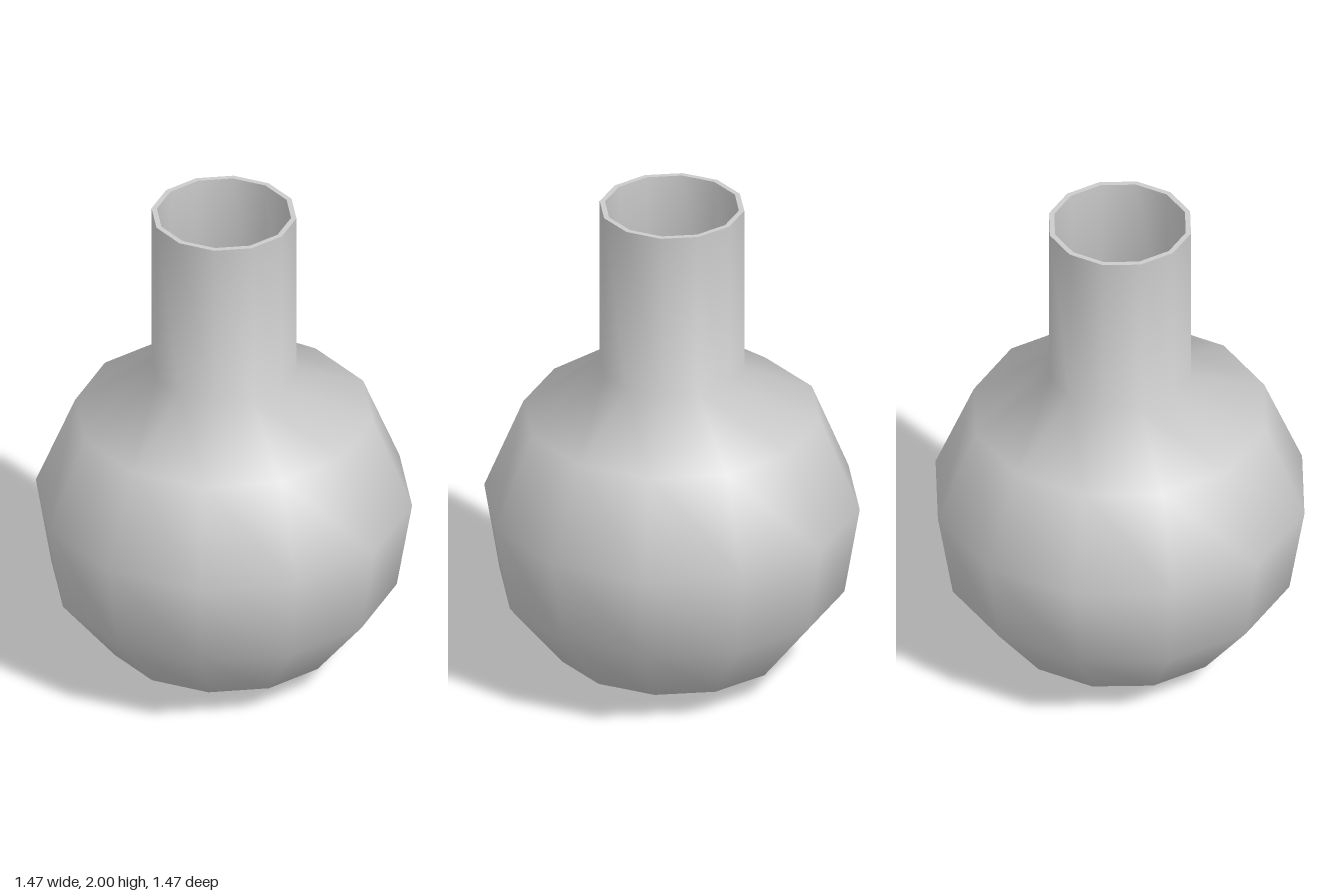
import * as THREE from 'three';

const SIDES = 12;

export function createModel() {
  const flask = new THREE.Group();
  flask.name = 'flask';
  const material = new THREE.MeshStandardMaterial({ color: 0xcccccc });

  // Revolve a profile of [radius, height] pairs into a named part
  function revolve(name, profile) {
    const points = profile.map(([r, y]) => new THREE.Vector2(r, y));
    const mesh = new THREE.Mesh(new THREE.LatheGeometry(points, SIDES), material);
    mesh.name = name;
    flask.add(mesh);
  }

  // Outer wall, from the bottom point up the bulb and the straight neck
  revolve('outerWall', [
    [0, 0], [0.457, 0.105], [0.675, 0.375], [0.735, 0.735],
    [0.582, 1.108], [0.283, 1.315], [0.283, 2],
  ]);

  // Thin flat lip
  revolve('rim', [[0.283, 2], [0.262, 2]]);

  // Inner wall, running back down to the floor of the bulb
  revolve('innerWall', [
    [0.262, 2], [0.258, 1.303], [0.562, 1.093], [0.71, 0.735],
    [0.652, 0.386], [0.445, 0.128], [0, 0.025],
  ]);

  return flask;
}
